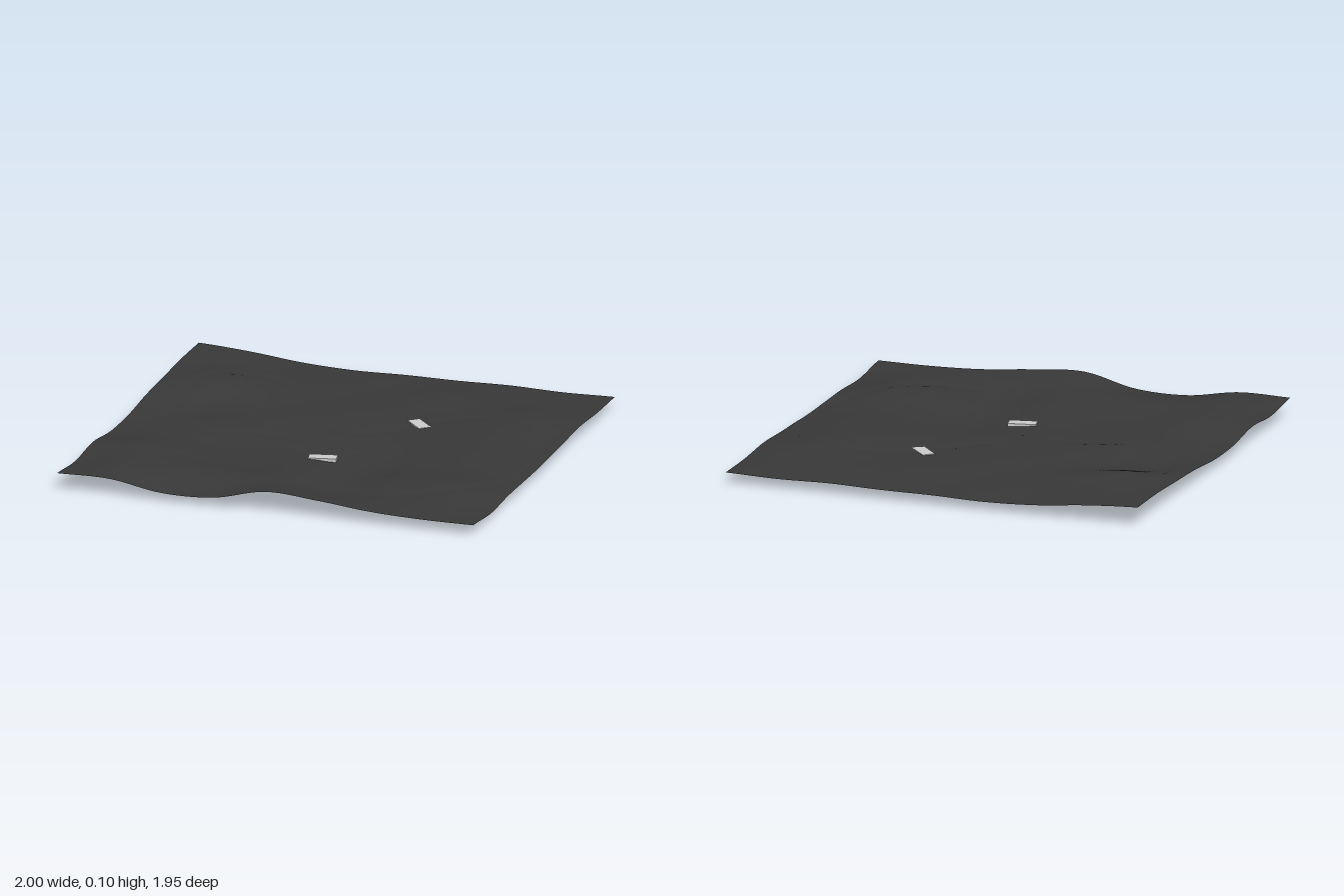
import * as THREE from 'three';

// Ground heights in hundredths on a coarse 9 x 9 net (rows: back to front, columns: -x to +x)
const NET = [
  [9, 7.5, 5, 4, 4.5, 4.5, 5, 4.5, 5],
  [9, 8, 6, 5, 4, 6, 6, 6, 5],
  [8, 10, 7, 5, 5, 5, 6, 8, 6],
  [7, 4.5, 5, 6, 5, 4.4, 6, 7, 5],
  [5, 5, 6, 5, 5, 4, 5, 6, 4.5],
  [5, 6, 5, 4.5, 4.2, 2.5, 4.5, 5, 4],
  [7.5, 9, 6, 5, 5.5, 3, 6, 7, 4],
  [6, 9, 8, 7, 7, 4, 5, 6, 3],
  [8, 8, 4, 4.5, 10, 8.5, 6, 5, 5],
];
const HALF_X = 1, HALF_Z = 0.975;

// Catmull-Rom sample of a row of values at t in 0..1
function sample(values, t) {
  const n = values.length - 1;
  const i = Math.min(Math.floor(t * n), n - 1);
  const f = t * n - i;
  const at = (k) => values[THREE.MathUtils.clamp(k, 0, n)];
  const [a, b, c, d] = [at(i - 1), at(i), at(i + 1), at(i + 2)];
  return b + 0.5 * f * (c - a + f * (2 * a - 5 * b + 4 * c - d + f * (3 * (b - c) + d - a)));
}

// Winding course pressed faintly into the ground
const course = new THREE.CatmullRomCurve3([
  [-0.85, -0.4], [-0.75, -0.6], [-0.55, -0.66], [-0.35, -0.55], [-0.15, -0.2],
  [0.02, -0.1], [0.2, -0.2], [0.3, -0.33], [0.6, -0.47], [0.85, -0.35],
  [0.98, 0.05], [0.9, 0.4], [0.7, 0.62], [0.45, 0.7], [0.2, 0.6],
  [0.05, 0.27], [-0.1, 0.08], [-0.3, 0.05], [-0.6, 0.1], [-0.82, -0.1],
].map(([x, z]) => new THREE.Vector3(x, 0, z)), true).getSpacedPoints(240);

function groundHeight(x, z) {
  const u = (x / HALF_X + 1) / 2, v = (z / HALF_Z + 1) / 2;
  const base = sample(NET.map((row) => sample(row, u)), v) / 100;
  let d = Infinity;
  for (const p of course) d = Math.min(d, Math.hypot(p.x - x, p.z - z));
  return base - 0.003 * (1 - THREE.MathUtils.smoothstep(d, 0.02, 0.045));
}

function makeGround() {
  const geo = new THREE.PlaneGeometry(2 * HALF_X, 2 * HALF_Z, 100, 100);
  geo.rotateX(-Math.PI / 2);
  const pos = geo.attributes.position;
  for (let i = 0; i < pos.count; i++) {
    pos.setY(i, groundHeight(pos.getX(i), pos.getZ(i)));
  }
  geo.computeVertexNormals();
  const mesh = new THREE.Mesh(geo, new THREE.MeshStandardMaterial({ color: 0x383838, side: THREE.DoubleSide }));
  mesh.name = 'ground';
  return mesh;
}

// Block bridge sunk into the ground across the course
function makeBridge(name, x, z, turn) {
  const height = 0.05;
  const geo = new THREE.BoxGeometry(0.13, height, 0.06);
  const mesh = new THREE.Mesh(geo, new THREE.MeshStandardMaterial({ color: 0xcccccc }));
  mesh.position.set(x, height / 2, z);
  mesh.rotation.y = turn;
  mesh.name = name;
  return mesh;
}

export function createModel() {
  const model = new THREE.Group();
  model.name = 'terrain';
  model.add(
    makeGround(),
    makeBridge('frontBridge', 0.03, 0.267, 0.21),
    makeBridge('backBridge', 0.287, -0.324, -0.82),
  );
  return model;
}
